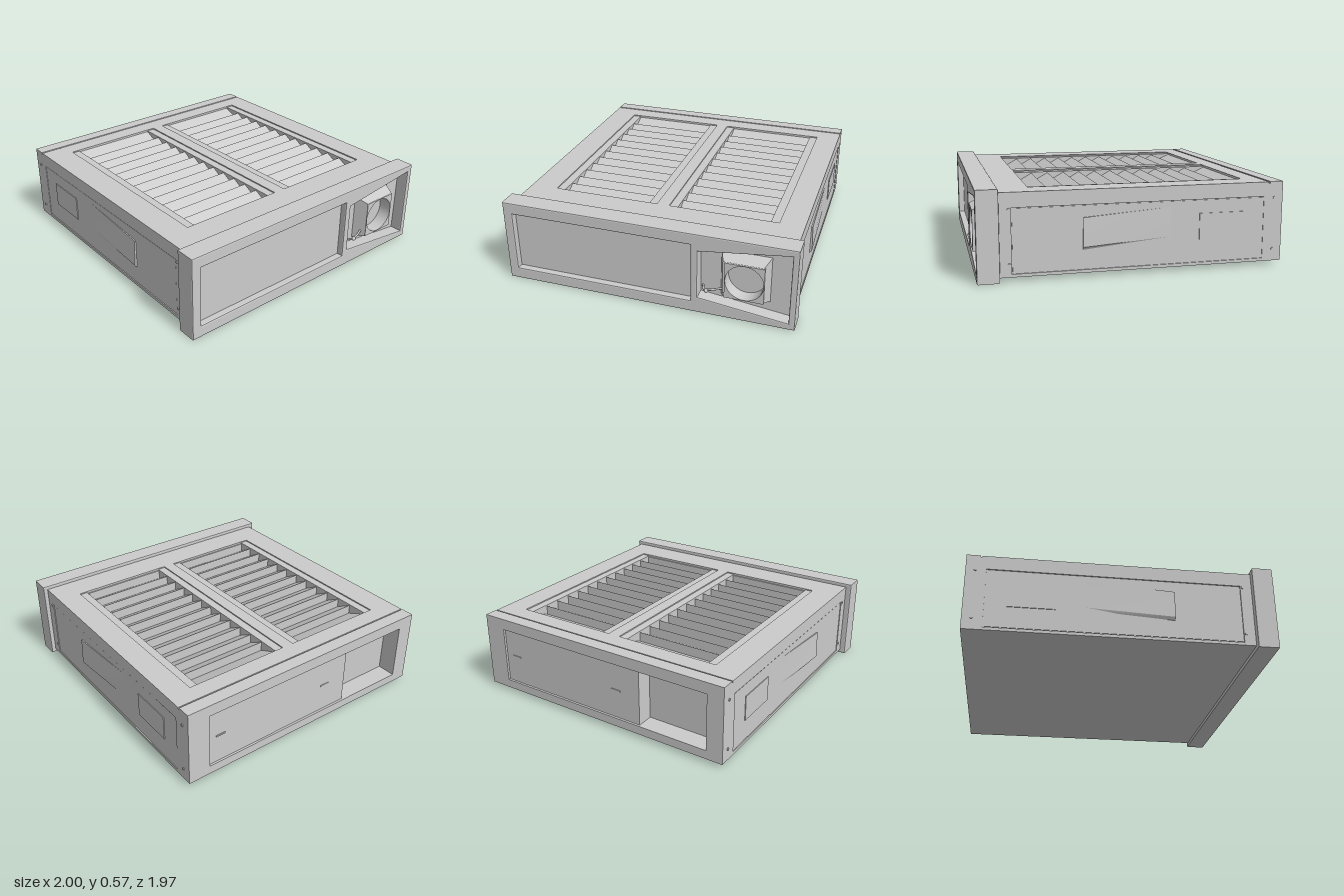
import * as THREE from 'three';

const mat = new THREE.MeshStandardMaterial({ color: 0xcccccc });
const thin = new THREE.MeshStandardMaterial({ color: 0xcccccc, side: THREE.DoubleSide });

export function createModel() {
  const model = new THREE.Group();

  const add = (name, geometry, material = mat) => {
    const mesh = new THREE.Mesh(geometry, material);
    mesh.name = name;
    model.add(mesh);
    return mesh;
  };
  // box given by its limits
  const box = (name, x0, x1, y0, y1, z0, z1) => {
    const m = add(name, new THREE.BoxGeometry(x1 - x0, y1 - y0, z1 - z0));
    m.position.set((x0 + x1) / 2, (y0 + y1) / 2, (z0 + z1) / 2);
    return m;
  };
  const poly = (pts) => pts.map(([a, b]) => new THREE.Vector2(a, b));
  const rect = (a0, a1, b0, b1) => poly([[a0, b0], [a1, b0], [a1, b1], [a0, b1]]);
  const shapeWith = (outline, holes) => {
    const s = new THREE.Shape(outline);
    holes.forEach((h) => s.holes.push(h instanceof THREE.Path ? h : new THREE.Path(h)));
    return s;
  };
  // extrude a (-z, y) outline along +x from x0 to x1
  const extrudeX = (name, outline, holes, x0, x1, bevel = 0) => {
    const g = new THREE.ExtrudeGeometry(shapeWith(outline, holes), {
      depth: x1 - x0 - 2 * bevel, bevelEnabled: bevel > 0, bevelSize: bevel,
      bevelThickness: bevel, bevelOffset: -bevel, bevelSegments: 2, curveSegments: 24,
    });
    g.translate(0, 0, bevel).rotateY(Math.PI / 2).translate(x0, 0, 0);
    return add(name, g);
  };

  const Z0 = -0.955, Z1 = 0.945;

  // Core and lower body
  box('bodyCore', -0.87, 0.86, 0.03, 0.46, Z0 + 0.008, Z1 - 0.008);

  // Louvred top: plate with two openings, ledges and saw-tooth slats
  const bays = [[-0.79, -0.055], [0.03, 0.76]];
  const plate = new THREE.ExtrudeGeometry(
    shapeWith(rect(-0.9, 0.86, -Z1, -Z0), bays.map(([a, b]) => rect(-0.78, 0.645, -b, -a))),
    { depth: 0.095, bevelEnabled: false });
  plate.rotateX(-Math.PI / 2).translate(0, 0.46, 0);
  add('topPlate', plate);

  const high = 0.54, low = 0.475, step = 0.115;
  const teeth = [[-0.78, 0.46], [0.645, 0.46], [0.645, high], [0.635, high]];
  for (let i = 11; i >= 1; i--) {
    teeth.push([-0.63 + i * step, low], [-0.63 + (i - 1) * step, high]);
  }
  teeth.push([-0.63, low], [-0.78, high]);
  for (const [a, b] of bays) {
    const slats = new THREE.ExtrudeGeometry(new THREE.Shape(poly(teeth)),
      { depth: b - a - 0.11, bevelEnabled: false });
    add('louvreSlats', slats.translate(0, 0, a + 0.055));
    box('louvreLedge', -0.78, 0.645, 0.46, 0.547, a, a + 0.057);
    box('louvreLedge', -0.78, 0.645, 0.46, 0.547, b - 0.057, b);
  }

  // Rear frame with an open bay and a shallow cover panel
  extrudeX('rearFrame', rect(-Z1, -Z0, 0.03, 0.545), [rect(-0.83, 0.8, 0.09, 0.48)], -1, -0.87);
  box('rearCap', -1, -0.91, 0.545, 0.557, Z0, Z1);
  box('rearCover', -0.985, -0.87, 0.09, 0.48, -0.8, 0.33);
  for (const z of [-0.71, 0.15]) box('rearLatch', -0.99, -0.98, 0.285, 0.295, z - 0.035, z + 0.035);

  // Side details, mirrored front and back
  for (const s of [1, -1]) {
    const face = s > 0 ? Z1 : Z0;
    const slab = (name, x0, x1, y0, y1, inner, outer) => {
      const a = face + s * inner, b = face + s * outer;
      return box(name, x0, x1, y0, y1, Math.min(a, b), Math.max(a, b));
    };
    slab('sidePost', -0.9, -0.89, 0.03, 0.46, -0.02, 0);
    slab('sidePost', 0.77, 0.86, 0.03, 0.46, -0.02, 0);
    slab('sideRail', -0.89, 0.77, 0.03, 0.05, -0.02, 0);
    slab('sidePanel', -0.885, 0.765, 0.055, 0.455, -0.02, -0.003);
    slab('sidePlate', -0.73, -0.43, 0.2, 0.37, -0.02, 0.002);
    for (const x of [-0.94, 0.785]) {
      for (const y of [0.11, 0.45]) {
        const screw = add('screw', new THREE.CylinderGeometry(0.009, 0.009, 0.012, 12));
        screw.rotation.x = Math.PI / 2;
        screw.position.set(x, y, face);
      }
    }
    // wedge-shaped scoop rising toward its +x end
    const g = new THREE.BoxGeometry(0.57, 0.2, 0.02);
    const p = g.attributes.position;
    for (let i = 0; i < p.count; i++) {
      const end = p.getX(i) > 0, top = p.getY(i) > 0, outer = p.getZ(i) * s > 0;
      const x = end ? 0.33 : -0.24;
      const y = top ? (end ? 0.38 : 0.42) : (end ? 0.165 : 0.2) + (outer ? 0.03 : 0);
      p.setXYZ(i, x, y, face + s * (outer ? (end ? (top ? 0.006 : 0.013) : -0.003) : -0.012));
    }
    g.computeVertexNormals();
    add('sideScoop', g);
  }

  // End bezel with a wide window and a tapered control recess
  const taper = [[0.355, 0.12], [0.945, 0.05], [0.945, 0.535], [0.355, 0.46]];
  extrudeX('bezel', rect(-0.985, 0.985, 0.005, 0.58),
    [rect(-0.92, 0.31, 0.085, 0.5), poly(taper)], 0.845, 0.985, 0.008);
  box('windowPanel', 0.85, 0.94, 0.07, 0.51, -0.325, 0.935);
  box('controlRecessFloor', 0.85, 0.9, 0.035, 0.55, -0.96, -0.34);

  // Round socket in a chamfered housing
  const cy = 0.29, cz = -0.658, h = 0.127;
  const bore = new THREE.Path().absarc(-cz, cy, 0.123, 0, Math.PI * 2, true);
  extrudeX('socket', rect(-cz - h, -cz + h, cy - h, cy + h), [bore], 0.895, 0.99);
  const skirt = new THREE.CylinderGeometry(h * Math.SQRT2, 0.16 * Math.SQRT2, 0.085, 4, 1, true)
    .toNonIndexed();
  skirt.rotateY(Math.PI / 4).rotateZ(-Math.PI / 2);
  skirt.computeVertexNormals();
  add('socketHousing', skirt, thin).position.set(0.9475, cy + 0.006, cz + 0.008);

  // Small curved lever beside the socket
  const path = new THREE.CatmullRomCurve3([
    [0.9, 0.165, -0.37], [0.97, 0.18, -0.4], [0.985, 0.197, -0.44], [0.96, 0.205, -0.51],
  ].map((v) => new THREE.Vector3(...v)));
  add('lever', new THREE.TubeGeometry(path, 20, 0.007, 8));
  const knob = add('leverKnob', new THREE.SphereGeometry(0.014, 12, 8));
  knob.position.set(0.986, 0.185, -0.415);

  return model;
}
